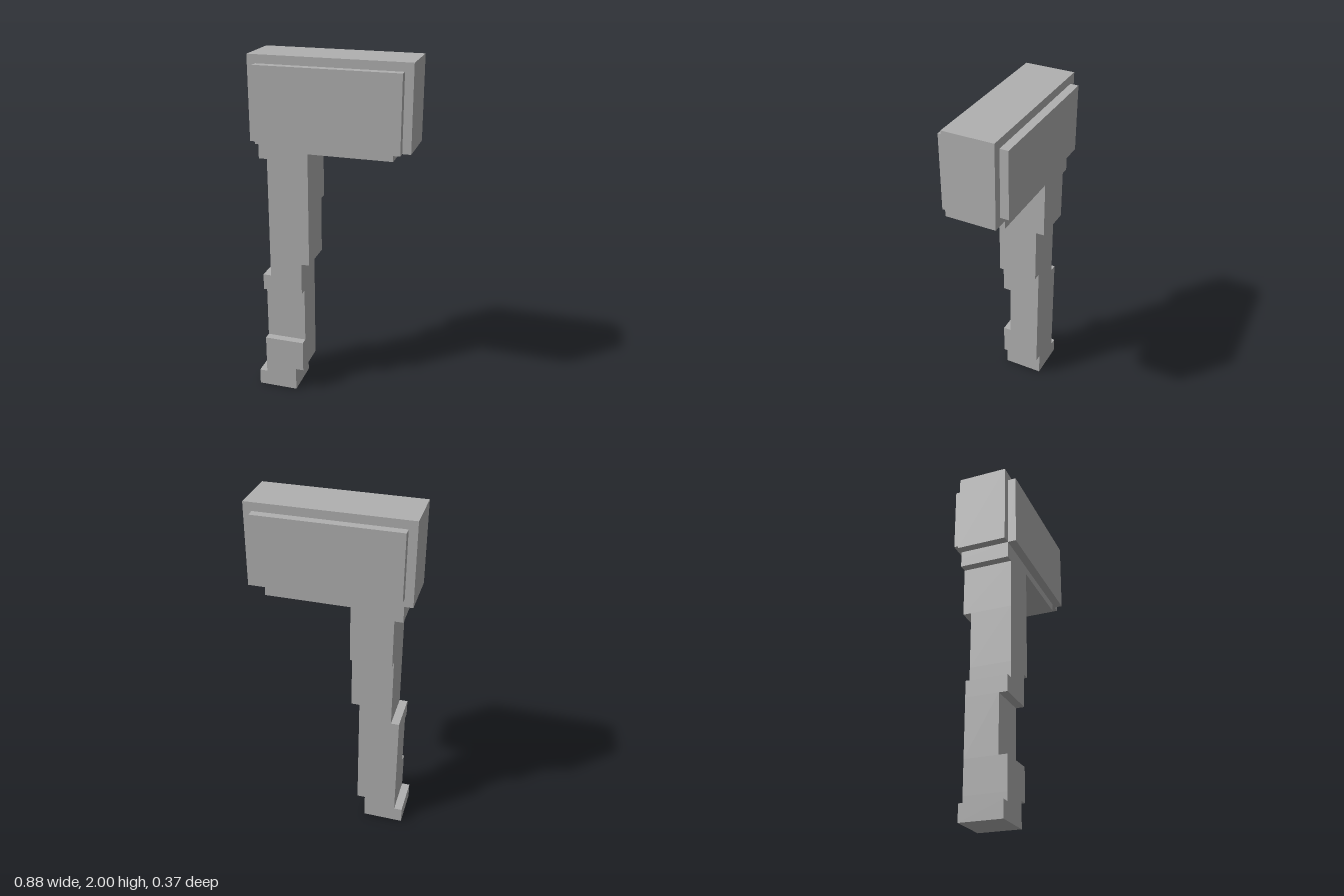
import * as THREE from 'three';

// Everything sits on a block grid: 43 units tall, scaled to 2.
const U = 2 / 43;

const grey = new THREE.MeshStandardMaterial({ color: 0xb0b0b0 });
grey.name = 'stone grey';

// Box given by its min and max corners in grid units
function block(name, x0, x1, y0, y1, z0, z1) {
  const geo = new THREE.BoxGeometry((x1 - x0) * U, (y1 - y0) * U, (z1 - z0) * U);
  const mesh = new THREE.Mesh(geo, grey);
  mesh.position.set((x0 + x1) / 2 * U, (y0 + y1) / 2 * U, (z0 + z1) / 2 * U);
  mesh.name = name;
  return mesh;
}

// Stepped column: rectangular sections [yBottom, x0, x1, z0, z1] joined by walls and ledges
function steppedColumn(sections, yTop) {
  const rings = [];
  sections.forEach(([y, x0, x1, z0, z1], i) => {
    const yEnd = i + 1 < sections.length ? sections[i + 1][0] : yTop;
    for (const h of [y, yEnd]) {
      rings.push([[x0, z1], [x1, z1], [x1, z0], [x0, z0]]
        .map(([x, z]) => new THREE.Vector3(x, h, z).multiplyScalar(U)));
    }
  });
  const points = [];
  const tri = (a, b, c) => {
    if (new THREE.Triangle(a, b, c).getArea() > 1e-8) points.push(a, b, c);
  };
  const quad = (a, b, c, d) => { tri(a, b, c); tri(a, c, d); };
  for (let r = 0; r + 1 < rings.length; r++) {
    for (let k = 0; k < 4; k++) {
      const n = (k + 1) % 4;
      quad(rings[r][k], rings[r][n], rings[r + 1][n], rings[r + 1][k]);
    }
  }
  // End caps
  const foot = rings[0], top = rings[rings.length - 1];
  quad(foot[3], foot[2], foot[1], foot[0]);
  quad(top[0], top[1], top[2], top[3]);
  const geo = new THREE.BufferGeometry().setFromPoints(points);
  geo.computeVertexNormals();
  return geo;
}

export function createModel() {
  const model = new THREE.Group();
  model.name = 'hammer';

  // Hammer head with a raised panel on each broad face
  const head = new THREE.Group();
  head.name = 'head';
  head.add(
    block('headBlock', -9.5, 9.5, 33, 43, -3, 3),
    block('frontPanel', -8.5, 8.5, 33, 42, 3, 4),
    block('backPanel', -8.5, 8.5, 34, 42, -4, -3),
  );

  // Crooked handle, widening into the flange under the head
  const handle = new THREE.Mesh(steppedColumn([
    [0, -9.5, -4.5, -2, 3],
    [2, -8.5, -4.5, -2, 3],
    [3, -8.5, -3.5, -2, 3],
    [7, -8.5, -3.5, -2, 2],
    [14, -8.5, -3.5, -2, 3],
    [16, -7.5, -3.5, -2, 3],
    [18, -7.5, -2.5, -2, 3],
    [25, -7.5, -2.5, -3, 3],
    [31, -8.5, -2.5, -3, 3],
    [32, -8.5, 7.5, -3, 3],
  ], 33), grey);
  handle.name = 'handle';

  model.add(head, handle);
  return model;
}
